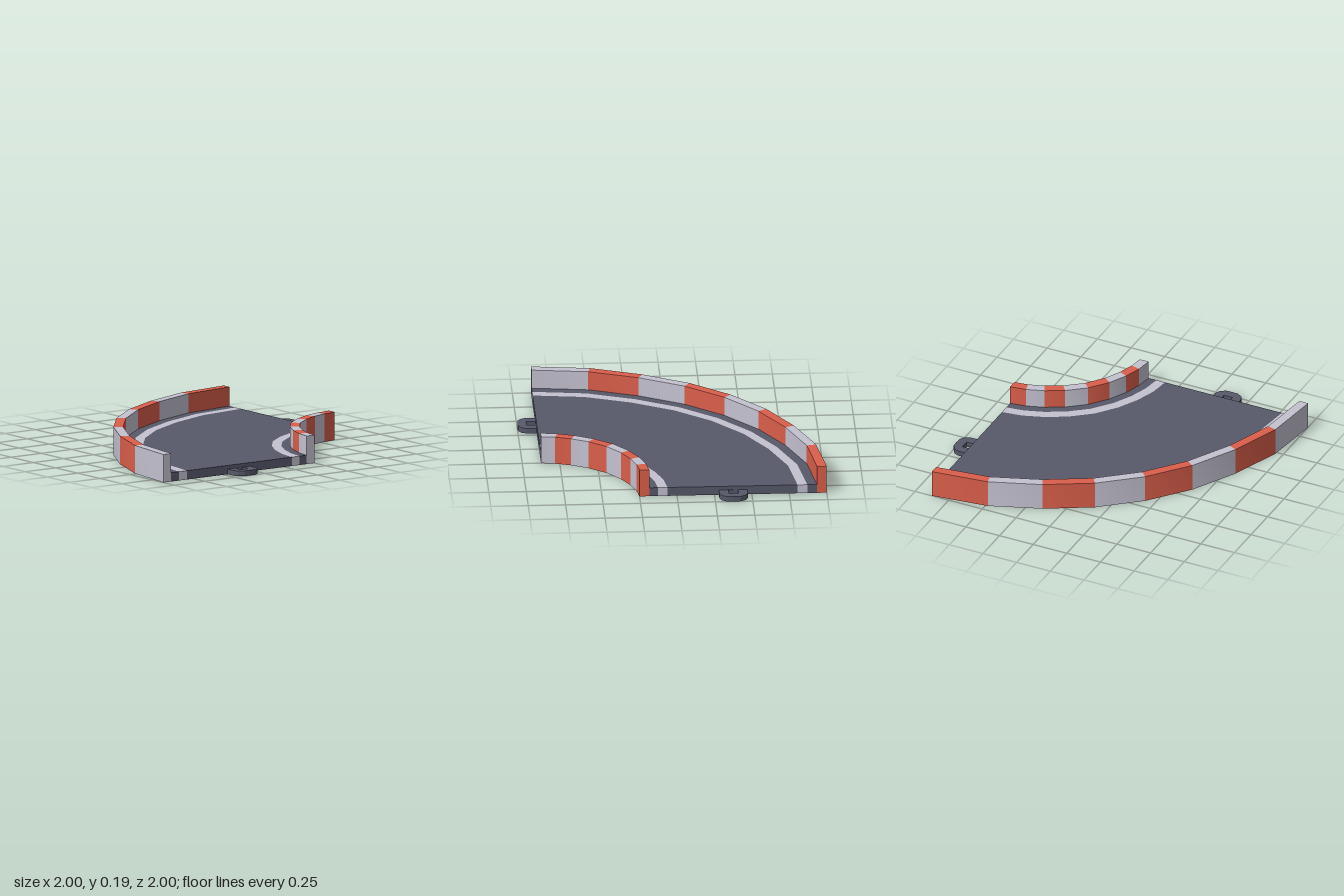
import * as THREE from 'three';
import { toCreasedNormals } from 'three/addons/utils/BufferGeometryUtils.js';

const mat = (name, color) => new THREE.MeshStandardMaterial({ name, color });

// Quarter-turn guide curves around the inside corner: [degrees, radius], first half only
const CORNER = 0.875;
const OUTER = [[0, 1.875], [12.1, 1.866], [23.4, 1.847], [34.3, 1.846], [45, 1.845]];
const INNER = [[0, 0.625], [8.8, 0.618], [19.1, 0.61], [31, 0.605], [45, 0.605]];
const SEGMENTS = 8;

function guide(half) {
  const mirrored = half.slice(0, 4).reverse().map(([a, r]) => [90 - a, r]);
  return [...half, ...mirrored].map(([a, r]) => {
    const t = THREE.MathUtils.degToRad(a);
    return new THREE.Vector2(CORNER - r * Math.cos(t), r * Math.sin(t) - CORNER);
  });
}
const outer = guide(OUTER), inner = guide(INNER);

// Point at station k, t = 0 on the outer edge and 1 on the inner edge
function at(k, [t, y]) {
  const p = outer[k].clone().lerp(inner[k], t);
  return [p.x, y, p.y];
}

// Sweeps the chosen profile edges around the bend; alternate segments swap material
function sweep(name, profile, edges, materials, caps = true) {
  const pos = [], geo = new THREE.BufferGeometry();
  const quad = (a, b, c, d) => pos.push(...a, ...b, ...c, ...a, ...c, ...d);
  for (let k = 0; k < SEGMENTS; k++) {
    const start = pos.length / 3;
    for (const e of edges) {
      const p = profile[e], q = profile[(e + 1) % profile.length];
      quad(at(k, p), at(k, q), at(k + 1, q), at(k + 1, p));
    }
    if (caps && k === 0) quad(...profile.map(p => at(0, p)).reverse());
    if (caps && k === SEGMENTS - 1) quad(...profile.map(p => at(SEGMENTS, p)));
    geo.addGroup(start, pos.length / 3 - start, k % materials.length);
  }
  geo.setAttribute('position', new THREE.Float32BufferAttribute(pos, 3));
  const mesh = new THREE.Mesh(toCreasedNormals(geo, 0.6), materials);
  mesh.name = name;
  return mesh;
}

const box = (t0, t1, h) => [[t0, 0], [t1, 0], [t1, h], [t0, h]];

// Flat loop with a square hole, pointing along -z from the track edge
function connector(name, material) {
  const s = new THREE.Shape();
  [[-0.095, 0], [0.095, 0], [0.095, 0.065], [0.08, 0.1], [0.045, 0.122], [0, 0.125],
    [-0.045, 0.122], [-0.08, 0.1], [-0.095, 0.065]]
    .forEach(([x, y], i) => (i ? s.lineTo(x, y) : s.moveTo(x, y)));
  s.closePath();
  const hole = new THREE.Path();
  hole.moveTo(-0.032, 0.002);
  hole.lineTo(-0.032, 0.064);
  hole.lineTo(0.032, 0.064);
  hole.lineTo(0.032, 0.002);
  hole.closePath();
  s.holes.push(hole);
  const geo = new THREE.ExtrudeGeometry(s, { depth: 0.035, bevelEnabled: false });
  geo.rotateX(-Math.PI / 2);
  const mesh = new THREE.Mesh(geo, material);
  mesh.name = name;
  return mesh;
}

export function createModel() {
  const model = new THREE.Group();
  model.name = 'curvedTrack';
  const red = mat('red', 0xdb5f4b);
  const white = mat('paleGrey', 0xc5c2d1);
  const dark = mat('asphalt', 0x57596b);
  const ROAD = 0.06, WALL = 0.19, W = 0.052;

  // Red and white barriers
  model.add(sweep('outerBarrier', box(0, W, WALL), [0, 1, 2, 3], [red, white]));
  model.add(sweep('innerBarrier', box(1 - W, 1, WALL), [0, 1, 2, 3], [red, white]));

  // Road surface bands with the two edge lines
  const stops = [W, 0.104, 0.156, 0.85, 0.902, 1 - W];
  for (let i = 0; i < stops.length - 1; i++) {
    const line = i % 2 === 1;
    model.add(sweep(line ? 'edgeLine' : 'road', box(stops[i], stops[i + 1], ROAD), [2], [line ? white : dark]));
  }

  // Striped underside
  model.add(sweep('underside', box(W, 1 - W, ROAD), [0], [red, white], false));

  // Joining loops at both ends
  const back = connector('backConnector', dark);
  back.position.set(-0.375, 0, -CORNER);
  const side = connector('sideConnector', dark);
  side.rotation.y = -Math.PI / 2;
  side.position.set(CORNER, 0, 0.375);
  model.add(back, side);
  return model;
}
